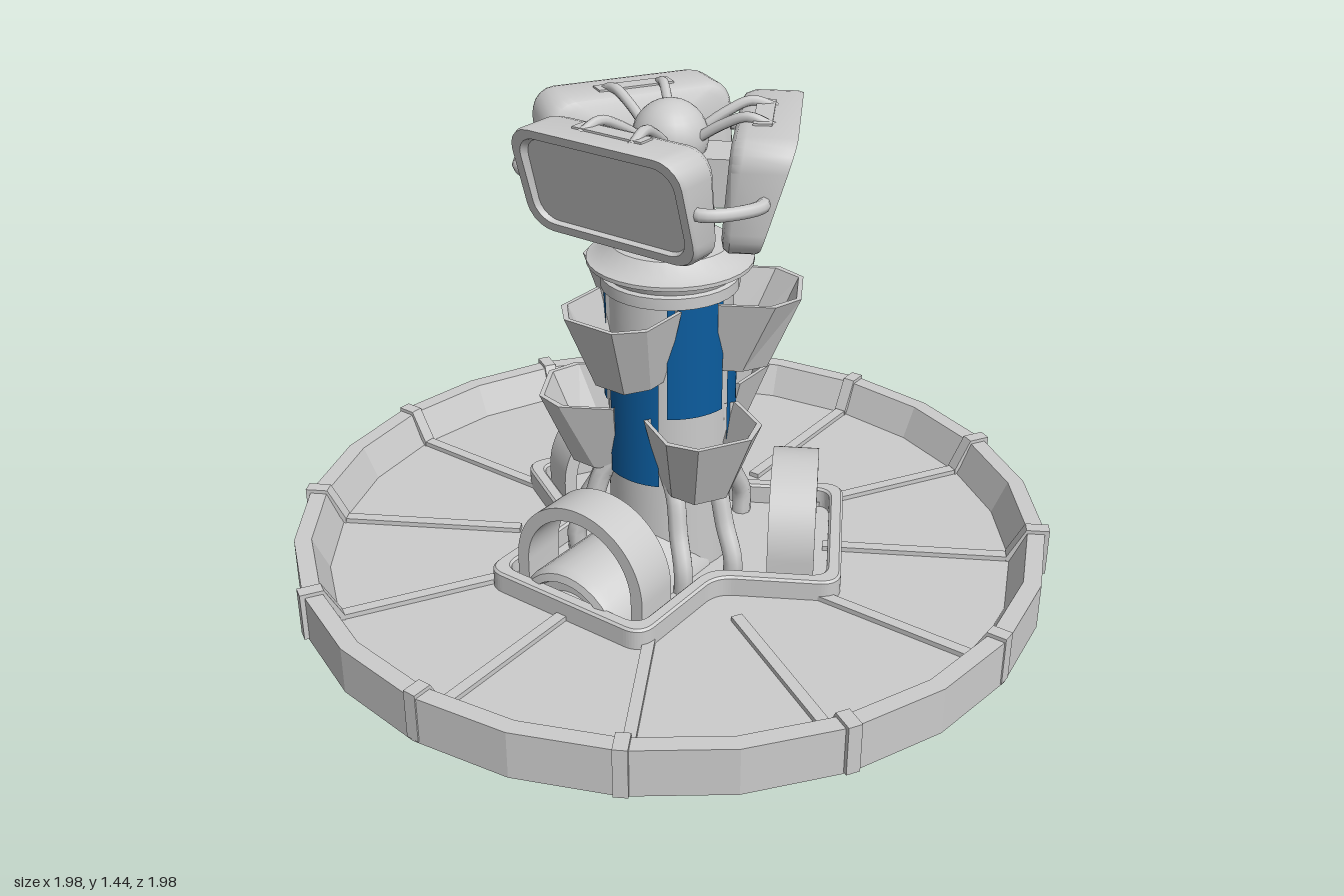
import * as THREE from 'three';
import { toCreasedNormals } from 'three/addons/utils/BufferGeometryUtils.js';

const GREY = new THREE.MeshStandardMaterial({ color: 0xcccccc, side: THREE.DoubleSide });
const FLAT = new THREE.MeshStandardMaterial({ color: 0xcccccc, side: THREE.DoubleSide, flatShading: true });
const BLUE = new THREE.MeshStandardMaterial({ color: 0x0b5c9e, side: THREE.DoubleSide });
const V = (x, y, z) => new THREE.Vector3(x, y, z);
const THIRD = Math.PI * 2 / 3;

function add(parent, name, geometry, material = GREY) {
  const mesh = new THREE.Mesh(geometry, material);
  mesh.name = name;
  parent.add(mesh);
  return mesh;
}

const box = (w, h, d, x, y, z) => new THREE.BoxGeometry(w, h, d).translate(x, y, z);
const tube = (points, r) => new THREE.TubeGeometry(new THREE.CatmullRomCurve3(points), 16, r, 8);
const lathe = (profile, segments) => toCreasedNormals(
  new THREE.LatheGeometry(profile.map(([r, y]) => new THREE.Vector2(r, y)), segments), 0.6);

// Three copies of a part around the column
function threeWay(parent, name, start, build) {
  for (let i = 0; i < 3; i++) {
    const g = new THREE.Group();
    g.name = name;
    g.rotation.y = start + i * THIRD;
    build(g, i);
    parent.add(g);
  }
}

// Skin over closed cross-sections, with a cap at both ends
function loft(loops) {
  const pos = [];
  const tri = (...ps) => ps.forEach((p) => pos.push(p.x, p.y, p.z));
  const centre = (l) => l.reduce((s, p) => s.add(p), V(0, 0, 0)).divideScalar(l.length);
  const n = loops[0].length, last = loops[loops.length - 1];
  const c0 = centre(loops[0]), c1 = centre(last);
  for (let i = 0; i < n; i++) {
    const j = (i + 1) % n;
    for (let k = 0; k < loops.length - 1; k++) {
      const a = loops[k], b = loops[k + 1];
      tri(a[i], a[j], b[j]);
      tri(a[i], b[j], b[i]);
    }
    tri(c0, loops[0][j], loops[0][i]);
    tri(c1, last[i], last[j]);
  }
  const g = new THREE.BufferGeometry();
  g.setAttribute('position', new THREE.Float32BufferAttribute(pos, 3));
  return toCreasedNormals(g, 0.7);
}

// Rounded rectangle outline, counter-clockwise
function roundedRect(hw, hh, r) {
  const pts = [];
  [[1, 1], [-1, 1], [-1, -1], [1, -1]].forEach(([sx, sy], q) => {
    for (let i = 0; i <= 5; i++) {
      const a = (q + i / 5) * Math.PI / 2;
      pts.push([sx * (hw - r) + r * Math.cos(a), sy * (hh - r) + r * Math.sin(a)]);
    }
  });
  return pts;
}

// Three-armed outline with rounded corners
function trefoil(Path, half, reach) {
  const path = new Path(), pts = [];
  for (let i = 0; i < 3; i++) {
    const a = i * THIRD, u = [Math.cos(a), Math.sin(a)], v = [-u[1], u[0]];
    const inner = half / Math.tan(Math.PI / 3);
    for (const [r, s] of [[reach, -half], [reach, half], [inner, half]])
      pts.push(new THREE.Vector2(u[0] * r + v[0] * s, u[1] * r + v[1] * s));
  }
  pts.forEach((p, i) => {
    const prev = pts[(i + 8) % 9], next = pts[(i + 1) % 9];
    const a = p.clone().add(prev.clone().sub(p).setLength(0.05));
    const b = p.clone().add(next.clone().sub(p).setLength(0.05));
    if (i) path.lineTo(a.x, a.y); else path.moveTo(a.x, a.y);
    path.quadraticCurveTo(p.x, p.y, b.x, b.y);
  });
  path.closePath();
  return path;
}

function buildDish(root) {
  add(root, 'dish', new THREE.LatheGeometry([[0.99, 0.18], [0.99, 0.305], [0.945, 0.305], [0.905, 0.215], [0, 0.215]]
    .map(([r, y]) => new THREE.Vector2(r, y)), 24), FLAT);
  for (let i = 0; i < 12; i++) {
    const spoke = new THREE.Group();
    spoke.name = 'dishSpoke';
    spoke.rotation.y = i * Math.PI / 6;
    add(spoke, 'rib', box(0.03, 0.022, 0.5, 0, 0.217, 0.66));
    const out = i % 3 ? 1.0 : 0.991;
    const clamp = new THREE.Shape([[out, 0.185], [out, 0.315], [0.94, 0.315], [0.895, 0.23], [0.895, 0.21], [0.95, 0.29], [0.98, 0.185]]
      .map(([x, y]) => new THREE.Vector2(x, y)));
    add(spoke, 'rimClamp', new THREE.ExtrudeGeometry(clamp, { depth: 0.035, bevelEnabled: false })
      .translate(0, 0, -0.0175).rotateY(-Math.PI / 2));
    root.add(spoke);
  }
  // Raised lip around the three bays
  const lip = trefoil(THREE.Shape, 0.245, 0.455);
  lip.holes.push(trefoil(THREE.Path, 0.22, 0.43));
  add(root, 'bayLip', new THREE.ExtrudeGeometry(lip, { depth: 0.05, bevelSize: 0.006, bevelThickness: 0.006, bevelSegments: 1 })
    .rotateX(-Math.PI / 2).rotateY(-Math.PI / 2).translate(0, 0.215, 0));
}

function buildBase(root) {
  // Arches with feet standing in each bay
  const arch = new THREE.Shape();
  arch.moveTo(0.2, 0.205);
  arch.lineTo(0.2, 0.29);
  arch.absarc(0, 0.29, 0.2, 0, Math.PI);
  arch.lineTo(-0.2, 0.205);
  arch.lineTo(-0.165, 0.205);
  arch.lineTo(-0.165, 0.29);
  arch.absarc(0, 0.29, 0.165, Math.PI, 0, true);
  arch.lineTo(0.165, 0.205);
  const archGeo = toCreasedNormals(new THREE.ExtrudeGeometry(arch, { depth: 0.12, bevelEnabled: false, curveSegments: 20 })
    .translate(0, 0, 0.27), 0.6);
  threeWay(root, 'bayArch', 0, (g) => add(g, 'arch', archGeo));
  // Drum lying under the front arch
  add(root, 'drum', lathe([[0.165, 0.04], [0.165, 0.415], [0.155, 0.435], [0.135, 0.44], [0.128, 0.42], [0.1, 0.42], [0.095, 0.43], [0, 0.43]], 32)
    .rotateX(Math.PI / 2).translate(0, 0.17, 0));
  // Pairs of bent pipes between the bays
  threeWay(root, 'basePipes', Math.PI / 3, (g) => {
    for (const s of [-1, 1])
      add(g, 'pipe', tube([V(s * 0.06, 0.5, 0.13), V(s * 0.06, 0.45, 0.17), V(s * 0.065, 0.36, 0.2), V(s * 0.07, 0.28, 0.24), V(s * 0.07, 0.21, 0.24)], 0.026));
  });
}

// Open bin with a faceted, flared front
function binGeometry() {
  const section = (y, w, r) => [[-0.55 * w, r], [0.55 * w, r], [w, r - 0.06], [w, 0.13], [-w, 0.13], [-w, r - 0.06]]
    .map(([x, z]) => V(x, y, z));
  return loft([section(0, 0.08, 0.25), section(0.2, 0.13, 0.33), section(0.2, 0.12, 0.318), section(0.03, 0.075, 0.245)]);
}

function buildColumn(root) {
  add(root, 'column', lathe([[0, 0.2], [0.16, 0.2], [0.16, 0.97], [0.175, 0.97], [0.175, 1.0], [0.165, 1.005], [0.175, 1.03],
    [0.21, 1.035], [0.21, 1.045], [0.18, 1.055], [0.15, 1.085], [0.11, 1.09], [0.11, 1.32], [0, 1.32]], 32));
  const bin = binGeometry();
  const panel = (h) => new THREE.CylinderGeometry(0.17, 0.17, h, 12, 1, true, -0.46, 0.92);
  for (const [start, binY, panelY] of [[0, 0.77, 0.625], [Math.PI / 3, 0.47, 0.82]]) {
    threeWay(root, 'columnSide', start, (g) => {
      add(g, 'bin', bin, FLAT).position.y = binY;
      add(g, 'bluePanel', panel(0.3), BLUE).position.y = panelY;
    });
  }
}

function buildHeads(root) {
  // Housing: t runs from the back to the front, which leans forward at the top
  const ring = (s, t, inset = 0) => roundedRect(0.25 * s - inset, 0.14 * s - inset, 0.065 * s - inset * 0.5).map(([x, y]) => {
    const back = 0.15 + y * 0.08, front = 0.27 + y * 0.3;
    return V(x, 1.275 + y, back + (front - back) * t);
  });
  const housing = loft([ring(0.86, 0), ring(0.95, 0.06), ring(1, 0.22), ring(1, 0.9), ring(0.98, 1),
    ring(0.98, 1, 0.022), ring(0.98, 0.85, 0.028)]);
  threeWay(root, 'head', 0, (g) => {
    add(g, 'housing', housing);
    add(g, 'mount', box(0.14, 0.12, 0.12, 0, 1.26, 0.11));
    add(g, 'topPlate', box(0.2, 0.012, 0.045, 0, 1.414, 0.225));
    for (const s of [-1, 1])
      add(g, 'cable', tube([V(s * 0.035, 1.36, 0.07), V(s * 0.05, 1.4, 0.13), V(s * 0.065, 1.425, 0.19), V(s * 0.075, 1.405, 0.25)], 0.013));
  });
  // Bowed links joining neighbouring heads
  threeWay(root, 'headLink', Math.PI / 3, (g) => add(g, 'link', tube(
    [V(-0.075, 1.28, 0.3), V(-0.085, 1.28, 0.335), V(-0.05, 1.28, 0.36), V(0.05, 1.28, 0.36), V(0.085, 1.28, 0.335), V(0.075, 1.28, 0.3)], 0.017)));
  add(root, 'topBall', new THREE.SphereGeometry(0.093, 24, 16).translate(0, 1.35, 0));
}

export function createModel() {
  const root = new THREE.Group();
  root.name = 'tower';
  buildDish(root);
  buildBase(root);
  buildColumn(root);
  buildHeads(root);
  return root;
}
